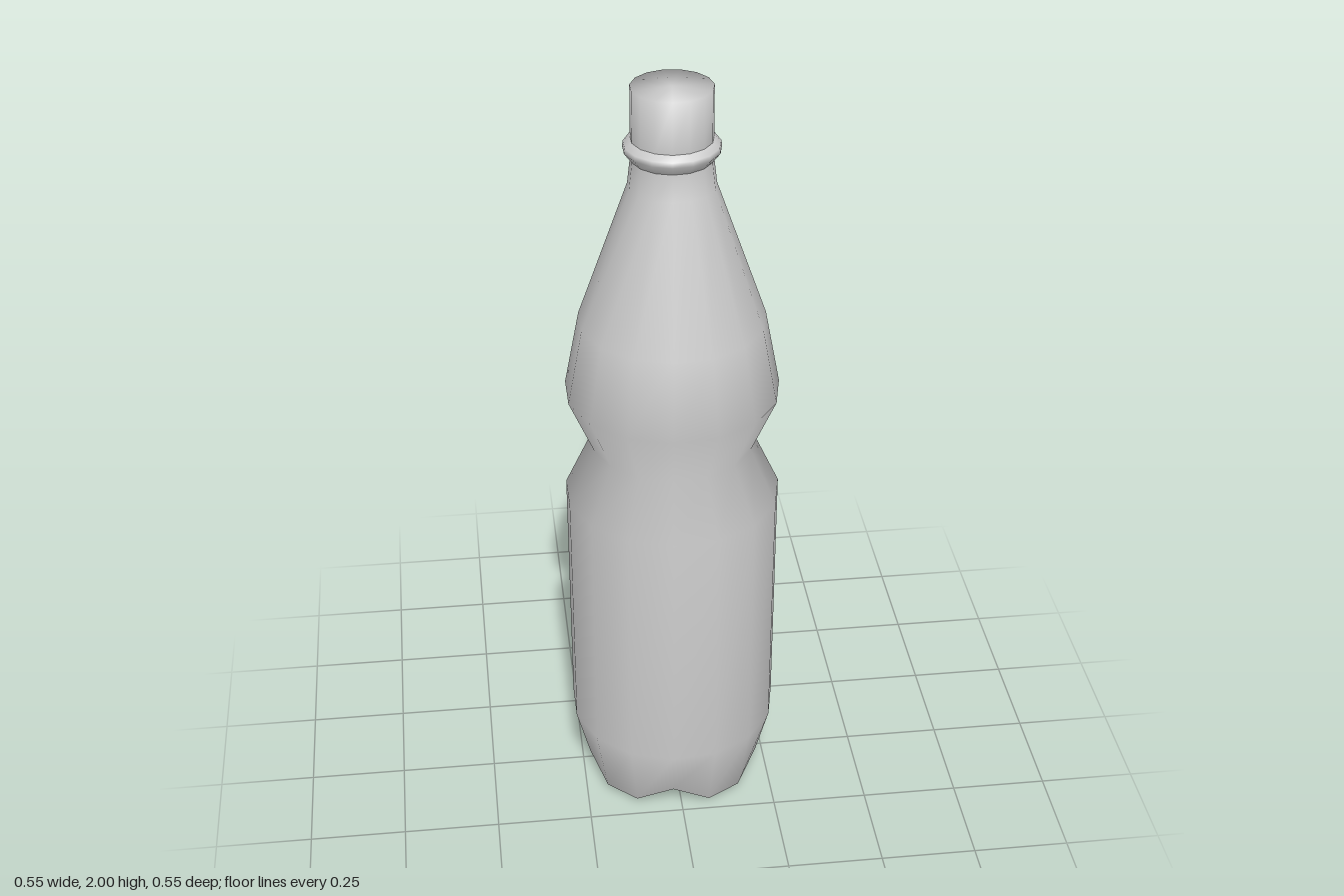
import * as THREE from 'three';

const SIDES = 15; // five feet, three sides each

// Skin a stack of [radius, height, notchHeight?] rings, bottom to top;
// a ring of radius 0 is a single closing point.
function skin(name, rings, material) {
  const positions = [], index = [], starts = [];
  for (const [r, y, notchY = y] of rings) {
    starts.push(positions.length / 3);
    const count = r === 0 ? 1 : SIDES;
    for (let i = 0; i < count; i++) {
      const a = (i / SIDES) * Math.PI * 2;
      positions.push(r * Math.cos(a), i % 3 === 1 ? notchY : y, r * Math.sin(a));
    }
  }
  for (let k = 0; k < rings.length - 1; k++) {
    const lo = starts[k], hi = starts[k + 1];
    for (let i = 0; i < SIDES; i++) {
      const j = (i + 1) % SIDES;
      if (rings[k][0] === 0) index.push(lo, hi + i, hi + j);
      else if (rings[k + 1][0] === 0) index.push(lo + i, hi, lo + j);
      else index.push(lo + i, hi + i, lo + j, lo + j, hi + i, hi + j);
    }
  }
  const geometry = new THREE.BufferGeometry();
  geometry.setAttribute('position', new THREE.Float32BufferAttribute(positions, 3));
  geometry.setIndex(index);
  geometry.computeVertexNormals();
  const mesh = new THREE.Mesh(geometry, material);
  mesh.name = name;
  return mesh;
}

export function createModel() {
  const group = new THREE.Group();
  group.name = 'bottle';
  const material = new THREE.MeshStandardMaterial({ color: 0xcccccc, side: THREE.DoubleSide });

  // Body: raised centre, notched feet, straight wall, waist, shoulder, neck
  group.add(skin('body', [
    [0, 0.06],
    [0.2, 0, 0.062],
    [0.24, 0.015, 0.066],
    [0.275, 0.2],
    [0.277, 0.89],
    [0.208, 1.04],
    [0.272, 1.19],
    [0.234, 1.39],
    [0.108, 1.75],
    [0.1, 1.82],
  ], material));

  // Collar ring under the cap
  group.add(skin('collar', [
    [0.1, 1.82],
    [0.119, 1.845],
    [0.117, 1.858],
    [0.1, 1.87],
  ], material));

  // Closed cap
  group.add(skin('cap', [
    [0.1, 1.87],
    [0.1, 2],
    [0, 2],
  ], material));

  return group;
}
